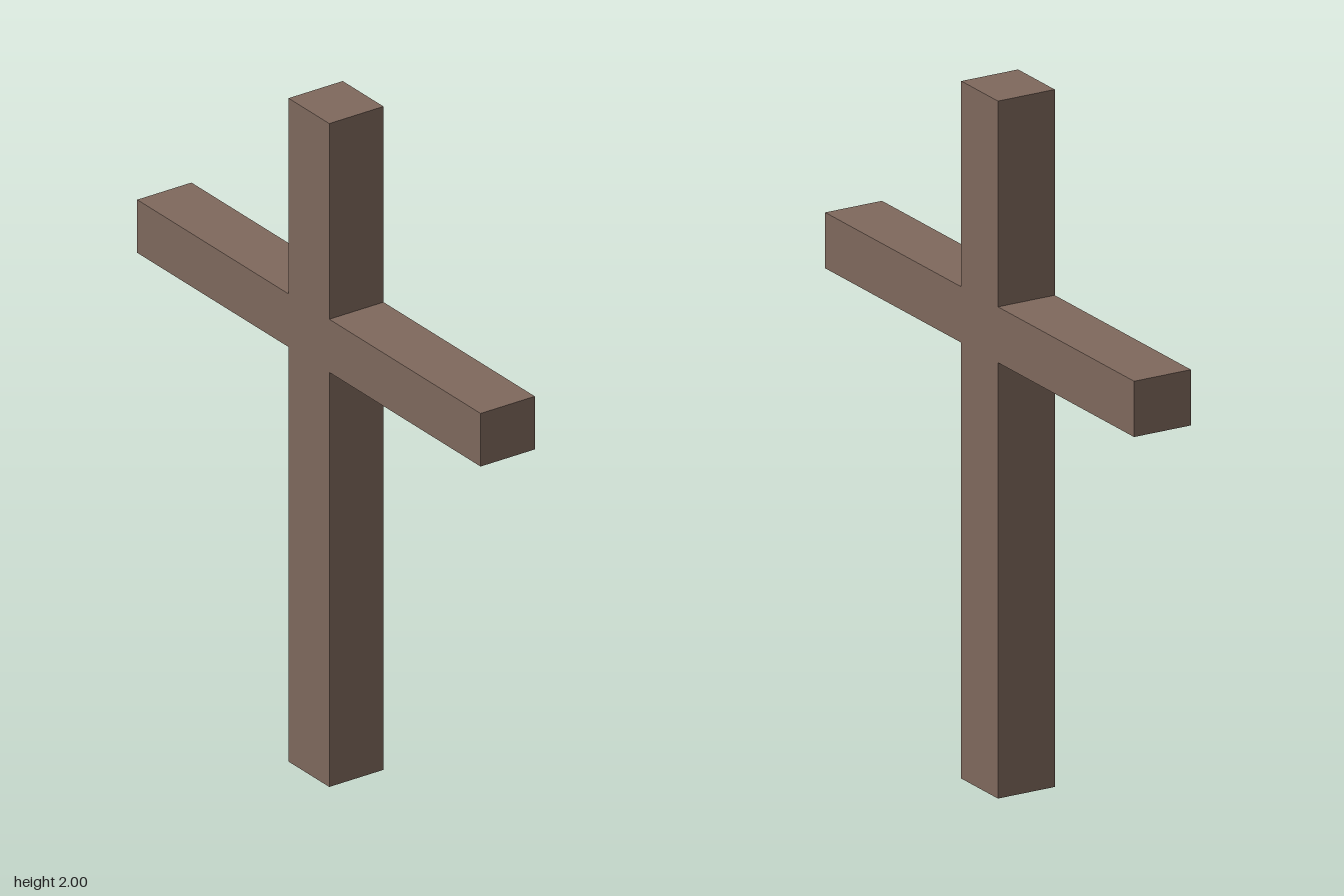
import * as THREE from 'three';

export function createModel() {
  const group = new THREE.Group();
  const wood = new THREE.MeshStandardMaterial({ color: 0x7f695d, flatShading: true });

  const thickness = 0.18;
  const postHalf = 0.095, height = 2;
  const armHalf = 0.8, armBottom = 1.25, armTop = 1.41;

  // One half of the outline, mirrored to close the cross
  const half = [
    [postHalf, 0], [postHalf, armBottom], [armHalf, armBottom],
    [armHalf, armTop], [postHalf, armTop], [postHalf, height],
  ];
  const mirrored = half.map(([x, y]) => [-x, y]).reverse();
  const outline = new THREE.Shape([...half, ...mirrored].map(([x, y]) => new THREE.Vector2(x, y)));

  // Post and crossbar as one flush solid, arms running along z
  const geometry = new THREE.ExtrudeGeometry(outline, { depth: thickness, bevelEnabled: false });
  geometry.translate(0, 0, -thickness / 2);
  geometry.rotateY(-Math.PI / 2);

  const cross = new THREE.Mesh(geometry, wood);
  cross.name = 'postAndCrossbar';
  group.add(cross);
  return group;
}
